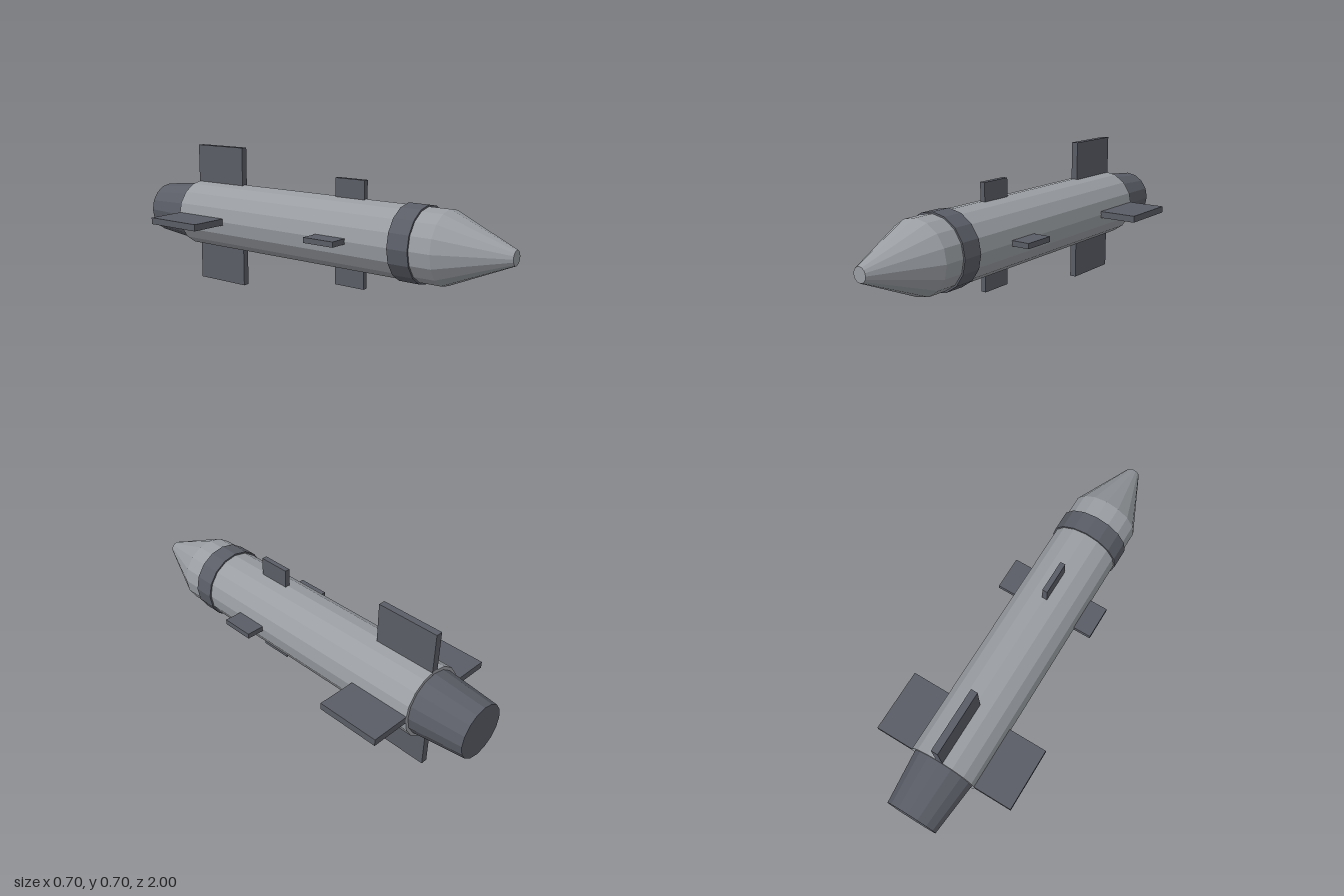
import * as THREE from 'three';

const SIDES = 16;
const AXIS_Y = 0.35;

export function createModel() {
  const lightGrey = new THREE.MeshStandardMaterial({ color: 0x9a9ea3 });
  lightGrey.name = 'lightGrey';
  const darkGrey = new THREE.MeshStandardMaterial({ color: 0x5a5d66 });
  darkGrey.name = 'darkGrey';
  lightGrey.flatShading = darkGrey.flatShading = true;

  const model = new THREE.Group();
  model.name = 'missile';

  // Faceted round section along z, from the back end to the front end
  function section(name, zBack, zFront, rBack, rFront, material) {
    const geometry = new THREE.CylinderGeometry(rFront, rBack, zFront - zBack, SIDES);
    geometry.rotateX(Math.PI / 2);
    const mesh = new THREE.Mesh(geometry, material);
    mesh.name = name;
    mesh.position.set(0, AXIS_Y, (zBack + zFront) / 2);
    model.add(mesh);
  }

  section('body', -0.75, 0.7, 0.165, 0.165, lightGrey);
  section('noseCone', 0.7, 1, 0.165, 0.033, lightGrey);
  section('band', 0.5, 0.6, 0.173, 0.173, darkGrey);
  section('nozzle', -1, -0.75, 0.125, 0.15, darkGrey);

  // Four flat fins around the axis, rooted inside the body
  function finSet(name, zBack, zFront, reach, thickness) {
    const root = 0.12;
    const group = new THREE.Group();
    group.name = name + 's';
    group.position.set(0, AXIS_Y, (zBack + zFront) / 2);
    for (let i = 0; i < 4; i++) {
      const geometry = new THREE.BoxGeometry(reach - root, thickness, zFront - zBack);
      geometry.translate((reach + root) / 2, 0, 0);
      const fin = new THREE.Mesh(geometry, darkGrey);
      fin.name = name;
      fin.rotation.z = i * Math.PI / 2;
      group.add(fin);
    }
    model.add(group);
  }

  finSet('tailFin', -0.75, -0.45, 0.35, 0.032);
  finSet('frontFin', 0.12, 0.28, 0.25, 0.025);

  return model;
}
